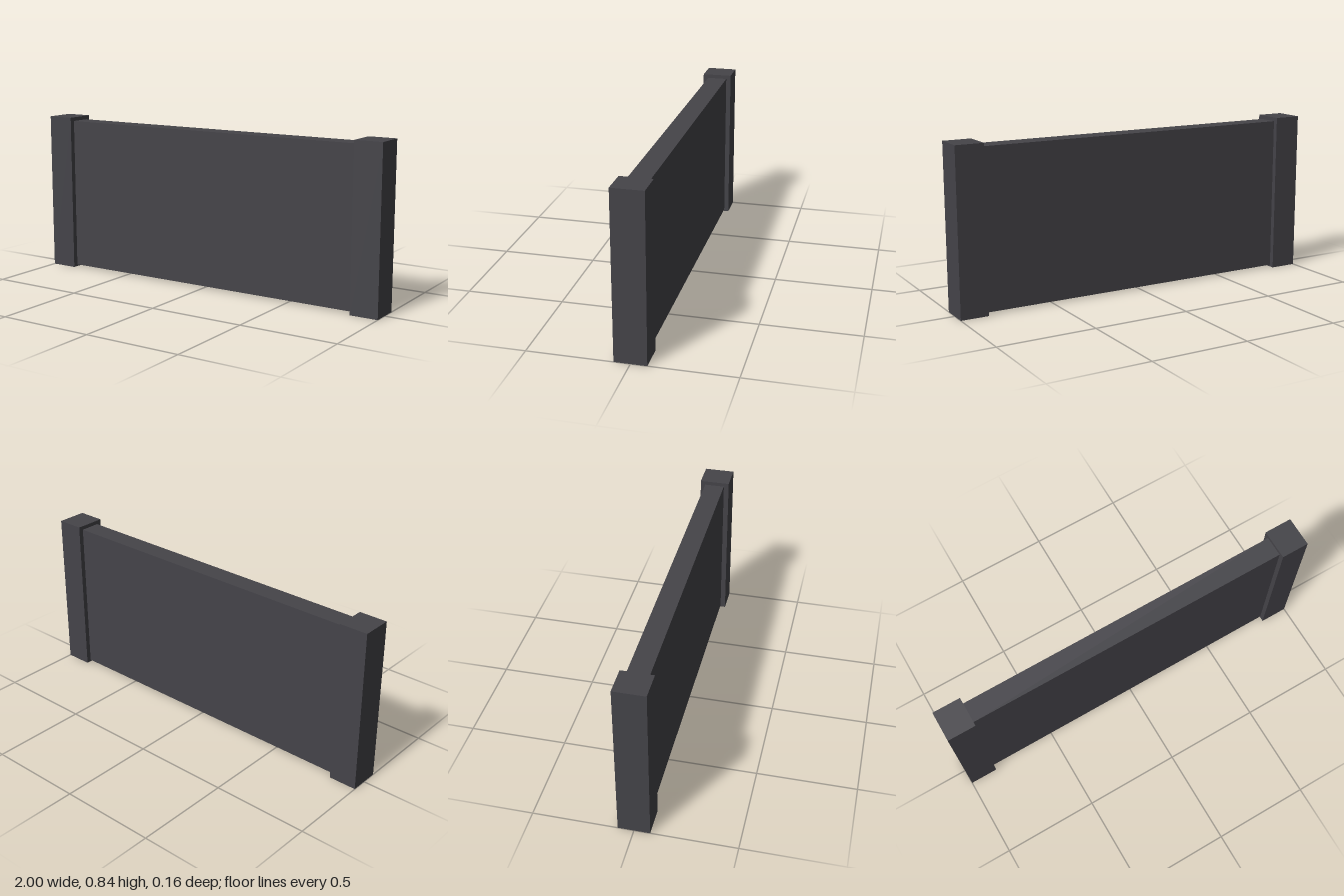
import * as THREE from 'three';

export function createModel() {
  const model = new THREE.Group();
  model.name = 'wallSection';

  const charcoal = new THREE.MeshStandardMaterial({ color: 0x454449 });
  charcoal.name = 'charcoal';

  const addBox = (name, [w, h, d], [x, y, z]) => {
    const mesh = new THREE.Mesh(new THREE.BoxGeometry(w, h, d), charcoal);
    mesh.name = name;
    mesh.position.set(x, y, z);
    model.add(mesh);
  };

  // End posts, standing on the ground
  const postWidth = 0.145, postHeight = 0.842, postDepth = 0.158;
  for (const [name, side] of [['leftPost', 1], ['rightPost', -1]]) {
    addBox(name, [postWidth, postHeight, postDepth],
      [side * (1 - postWidth / 2), postHeight / 2, 0]);
  }

  // Thinner panel between the posts, slightly raised and lower than their tops
  addBox('panel', [2 - 2 * postWidth, 0.812, 0.106], [0, 0.416, -0.001]);

  return model;
}
